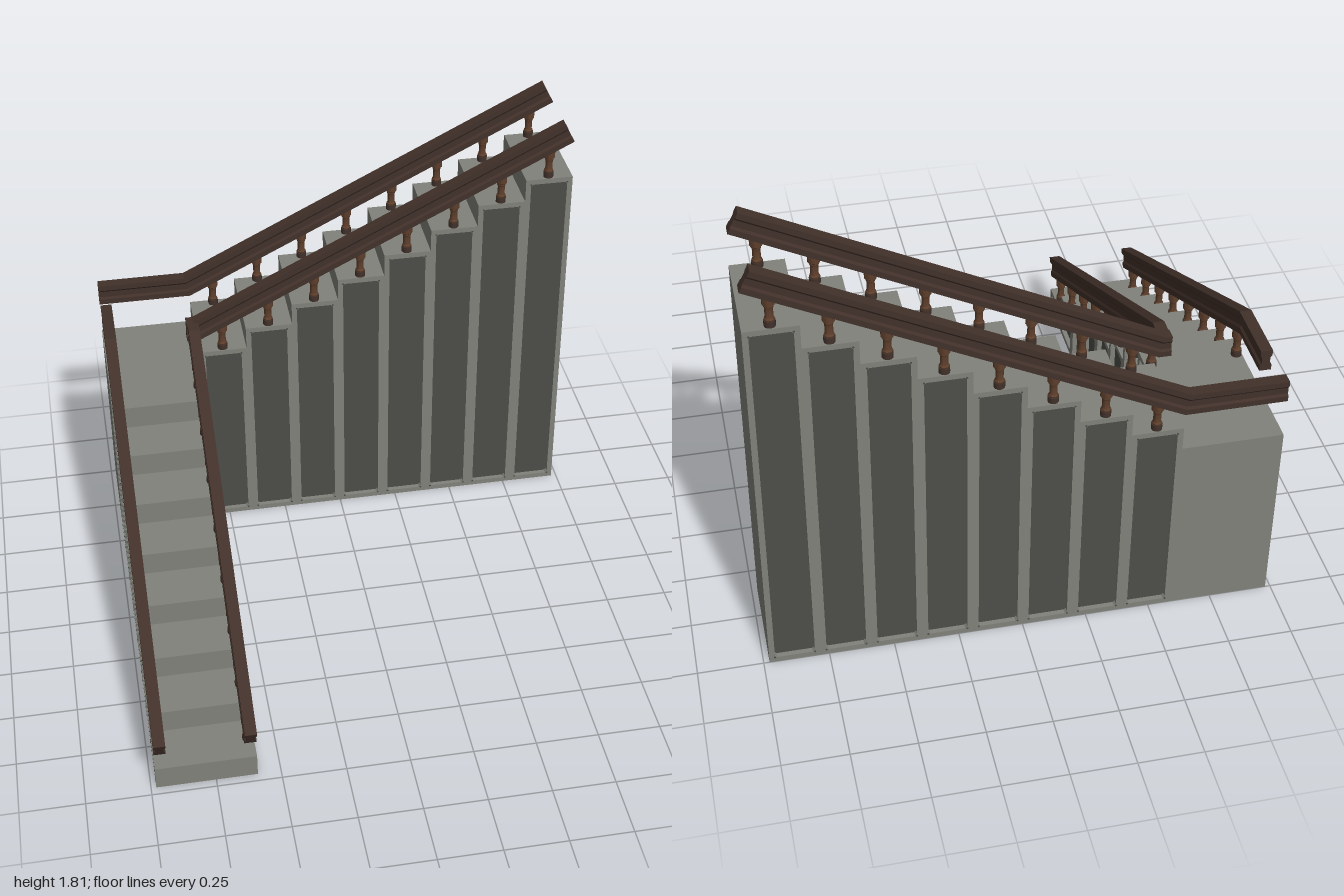
import * as THREE from 'three';
import { toCreasedNormals } from 'three/addons/utils/BufferGeometryUtils.js';

const STEPS = 8, RISE = 0.098, RUN = 0.196, WIDTH = 0.39;
const RECESS = 0.02, BORDER = 0.022, RAIL_OFFSET = 0.172;

const mat = (name, color) => {
  const m = new THREE.MeshStandardMaterial({ color });
  m.name = name;
  return m;
};

function mesh(parent, name, geometry, material, x = 0, y = 0, z = 0) {
  const m = new THREE.Mesh(geometry, material);
  m.name = name;
  m.position.set(x, y, z);
  parent.add(m);
  return m;
}

// Rectangle outline with cut corners
function outline(Type, x0, y0, x1, y1, c) {
  const p = [[x0 + c, y0], [x1 - c, y0], [x1, y0 + c], [x1, y1 - c],
    [x1 - c, y1], [x0 + c, y1], [x0, y1 - c], [x0, y0 + c]];
  return new Type(p.map(([x, y]) => new THREE.Vector2(x, y)));
}

// Flanged rail section as (z, y), counter-clockwise
const half = [[0.023, -0.045], [0.023, -0.022], [0.016, -0.013], [0.016, 0.013], [0.023, 0.022], [0.023, 0.045]];
const SECTION = [...half, ...half.map(([z, y]) => [-z, -y])].map(([z, y]) => new THREE.Vector2(z, y));

// Sweep the rail section along a bent path in the x-y plane with mitred joints
function railGeometry(path) {
  const pts = path.map(([x, y]) => new THREE.Vector2(x, y));
  const normals = pts.slice(1).map((p, i) => {
    const d = p.clone().sub(pts[i]).normalize();
    return new THREE.Vector2(-d.y, d.x);
  });
  const rings = pts.map((p, k) => {
    const a = normals[Math.max(k - 1, 0)], b = normals[Math.min(k, normals.length - 1)];
    const m = a.clone().add(b).divideScalar(1 + a.dot(b));
    return SECTION.map(s => [p.x + m.x * s.y, p.y + m.y * s.y, s.x]);
  });
  const out = [], n = SECTION.length;
  const tri = (a, b, c) => out.push(...a, ...b, ...c);
  for (let k = 0; k < rings.length - 1; k++) {
    for (let i = 0; i < n; i++) {
      const j = (i + 1) % n, r = rings[k], q = rings[k + 1];
      tri(r[i], q[i], q[j]);
      tri(r[i], q[j], r[j]);
    }
  }
  const last = rings[rings.length - 1];
  for (const [a, b, c] of THREE.ShapeUtils.triangulateShape(SECTION, [])) {
    tri(rings[0][a], rings[0][b], rings[0][c]);
    tri(last[a], last[c], last[b]);
  }
  const g = new THREE.BufferGeometry();
  g.setAttribute('position', new THREE.Float32BufferAttribute(out, 3));
  g.computeVertexNormals();
  return g;
}

export function createModel() {
  const stone = mat('stone', 0x80827a);
  const panel = mat('dark panel', 0x4d4e49);
  const wood = mat('dark wood', 0x42312a);
  const turned = mat('turned wood', 0x5e3f2c);

  const model = new THREE.Group();
  model.name = 'cornerStaircase';

  // Shared turned baluster, its foot and the panel stud
  const profile = [[0.016, 0.02], [0.019, 0.03], [0.015, 0.036], [0.015, 0.075], [0.018, 0.08],
    [0.018, 0.086], [0.023, 0.09], [0.023, 0.135], [0, 0.135]].map(([x, y]) => new THREE.Vector2(x, y));
  const balusterGeo = toCreasedNormals(new THREE.LatheGeometry(profile, 12), 0.7);
  const footGeo = new THREE.CylinderGeometry(0.021, 0.021, 0.024, 12);
  const studGeo = new THREE.CylinderGeometry(0.004, 0.004, 0.004, 6).rotateX(Math.PI / 2);

  // A flight climbs along local +x, centred on local z
  function flight(name, level) {
    const group = new THREE.Group();
    group.name = name;
    for (let i = 0; i < STEPS; i++) {
      const h = (level + i + 1) * RISE, x0 = i * RUN, mid = x0 + RUN / 2;
      const core = new THREE.BoxGeometry(RUN, h, WIDTH - 2 * RECESS);
      mesh(group, 'step', core, [stone, stone, stone, stone, panel, panel], mid, h / 2, 0);

      // Raised frame around the sunken panel on both sides
      const shape = outline(THREE.Shape, 0, 0, RUN, h, 0);
      shape.holes.push(outline(THREE.Path, BORDER, BORDER, RUN - BORDER, h - BORDER, 0.008));
      const frame = new THREE.ExtrudeGeometry(shape, { depth: RECESS, bevelEnabled: false });
      for (const s of [-1, 1]) {
        mesh(group, 'panelFrame', frame, stone, x0, 0, s > 0 ? WIDTH / 2 - RECESS : -WIDTH / 2);
        for (const x of [x0 + BORDER, x0 + RUN - BORDER]) {
          for (const y of [BORDER, h - BORDER]) mesh(group, 'stud', studGeo, panel, x, y, s * WIDTH / 2);
        }
        mesh(group, 'balusterFoot', footGeo, wood, mid, h + 0.012, s * RAIL_OFFSET);
        mesh(group, 'baluster', balusterGeo, turned, mid, h, s * RAIL_OFFSET);
      }
    }
    model.add(group);
    return group;
  }

  const railY = 0.99;

  // Lower flight climbs toward the back
  const lower = flight('lowerFlight', 0);
  lower.rotation.y = Math.PI / 2;
  lower.position.set(-0.785, 0, 0.966);
  const lowerRail = end => railGeometry([[-0.017, 0.213], [1.533, railY], [end, railY]]);
  mesh(lower, 'outerHandrail', lowerRail(1.776), wood, 0, 0, -RAIL_OFFSET);
  mesh(lower, 'innerHandrail', lowerRail(1.578), wood, 0, 0, RAIL_OFFSET);

  // Landing in the corner
  const landingH = STEPS * RISE;
  mesh(model, 'landing', new THREE.BoxGeometry(WIDTH, landingH, 0.398), stone, -0.785, landingH / 2, -0.801);

  // Upper flight climbs toward +x
  const upper = flight('upperFlight', STEPS);
  upper.position.set(-0.59, 0, -0.805);
  const upperRail = start => railGeometry([[start, railY], [-0.012, railY], [1.545, 1.77]]);
  mesh(upper, 'backHandrail', upperRail(-0.39), wood, 0, 0, -RAIL_OFFSET);
  mesh(upper, 'frontHandrail', upperRail(-0.05), wood, 0, 0, RAIL_OFFSET);

  return model;
}
